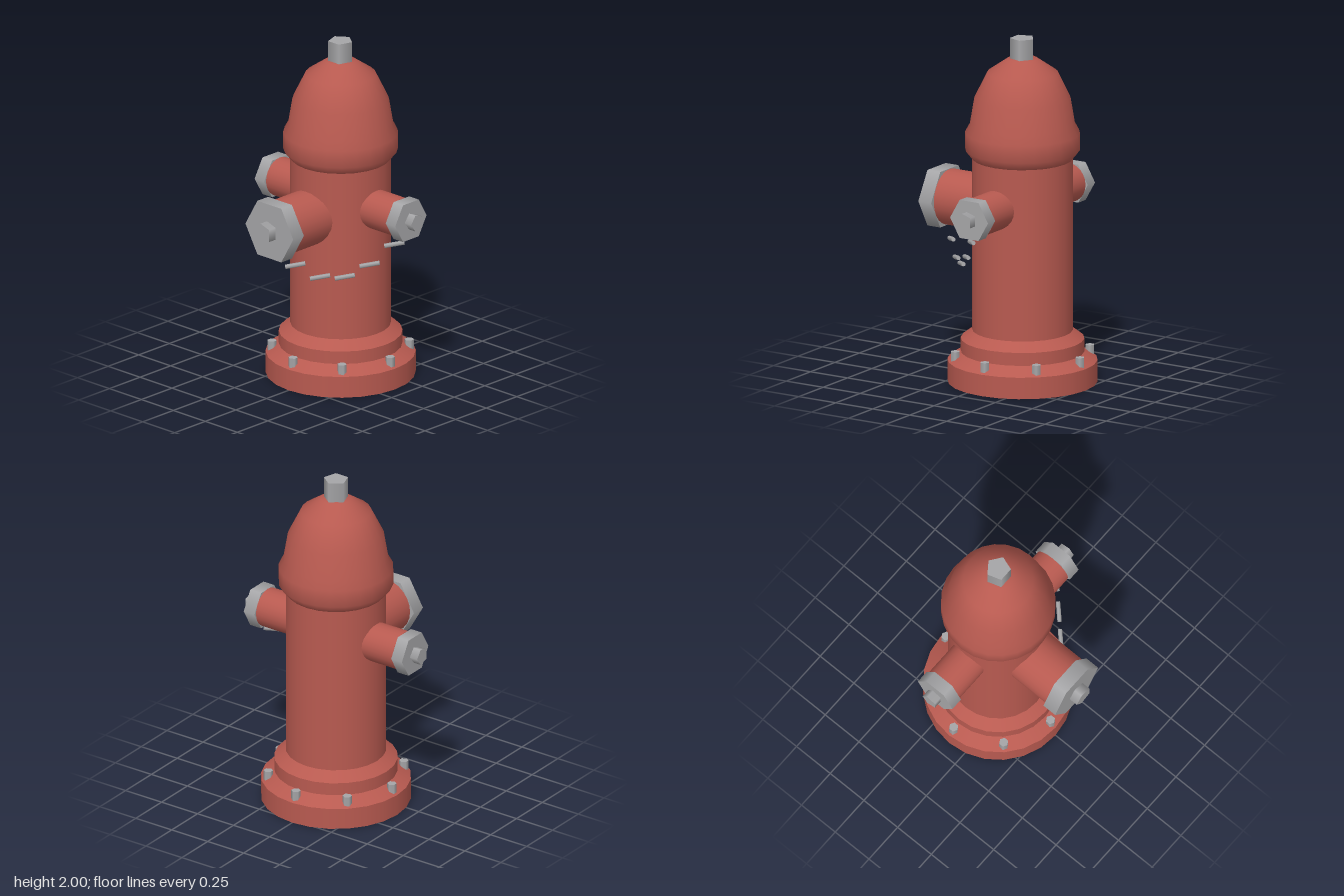
import * as THREE from 'three';

const red = new THREE.MeshStandardMaterial({ color: 0xb85a50 });
red.name = 'hydrantRed';
const grey = new THREE.MeshStandardMaterial({ color: 0xa6a6a8 });
grey.name = 'metalGrey';

const AXIS_Z = -0.105;

function part(parent, name, geometry, material) {
  const mesh = new THREE.Mesh(geometry, material);
  mesh.name = name;
  parent.add(mesh);
  return mesh;
}

// Surface of revolution from [radius, height] pairs
function lathe(points) {
  return new THREE.LatheGeometry(points.map(([r, y]) => new THREE.Vector2(r, y)), 24);
}

// Cylinder lying along +x between two distances
function rod(r, from, to, sides) {
  return new THREE.CylinderGeometry(r, r, to - from, sides)
    .rotateZ(-Math.PI / 2)
    .translate((from + to) / 2, 0, 0);
}

// Pipe with hexagonal cap and pentagonal nut, pointing outward at an angle
function outlet(name, angle, y, pipeR, capR, nutR, pipeEnd, capEnd, nutEnd) {
  const group = new THREE.Group();
  group.name = name;
  part(group, 'pipe', rod(pipeR, 0.1, pipeEnd, 24), red);
  part(group, 'cap', rod(capR, pipeEnd, capEnd, 6), grey);
  part(group, 'capNut', rod(nutR, capEnd, nutEnd, 5), grey);
  group.position.y = y;
  group.rotation.y = angle;
  return group;
}

export function createModel() {
  const model = new THREE.Group();
  model.name = 'fireHydrant';
  const hydrant = new THREE.Group();
  hydrant.name = 'hydrant';
  hydrant.position.z = AXIS_Z;
  model.add(hydrant);

  // Stepped base, one band per sharp edge
  const base = [[0, 0], [0.425, 0], [0.425, 0.125], [0.35, 0.175], [0.35, 0.25], [0.285, 0.3]];
  for (let i = 0; i < base.length - 1; i++) {
    part(hydrant, 'base', lathe([base[i], base[i + 1]]), red);
  }

  // Barrel, then collar and dome
  part(hydrant, 'barrel', lathe([[0.285, 0.3], [0.285, 1.3]]), red);
  part(hydrant, 'dome', lathe([
    [0.285, 1.3], [0.325, 1.35], [0.325, 1.45], [0.298, 1.5],
    [0.273, 1.65], [0.2, 1.8], [0.085, 1.88], [0, 1.885],
  ]), red);
  const nut = part(hydrant, 'topNut', new THREE.CylinderGeometry(0.072, 0.072, 0.13, 5), grey);
  nut.position.y = 1.935;
  nut.rotation.y = Math.PI;

  // Two side outlets and the larger front outlet
  hydrant.add(
    outlet('leftOutlet', 0, 1.053, 0.113, 0.128, 0.05, 0.475, 0.55, 0.6),
    outlet('rightOutlet', Math.PI, 1.053, 0.113, 0.128, 0.05, 0.475, 0.55, 0.6),
    outlet('frontOutlet', -Math.PI / 2, 1.003, 0.16, 0.187, 0.061, 0.495, 0.582, 0.635),
  );

  // Ring of flange bolts
  for (let i = 0; i < 8; i++) {
    const a = (i * Math.PI) / 4;
    part(hydrant, 'flangeBolt', new THREE.CylinderGeometry(0.027, 0.027, 0.06, 6), grey)
      .position.set(0.388 * Math.sin(a), 0.16, 0.388 * Math.cos(a));
  }

  // Loose chain hanging between the front and left caps
  const chain = new THREE.Group();
  chain.name = 'chain';
  model.add(chain);
  const direction = new THREE.Vector3(1, 0.25, -1).normalize();
  [0.778, 0.705, 0.705, 0.778, 0.9].forEach((y, i) => {
    const link = part(chain, 'chainLink', new THREE.CylinderGeometry(0.013, 0.013, 0.115, 6), grey);
    link.position.set(0.065 + i * 0.099, y, 0.333 - i * 0.099);
    link.quaternion.setFromUnitVectors(new THREE.Vector3(0, 1, 0), direction);
  });

  return model;
}
